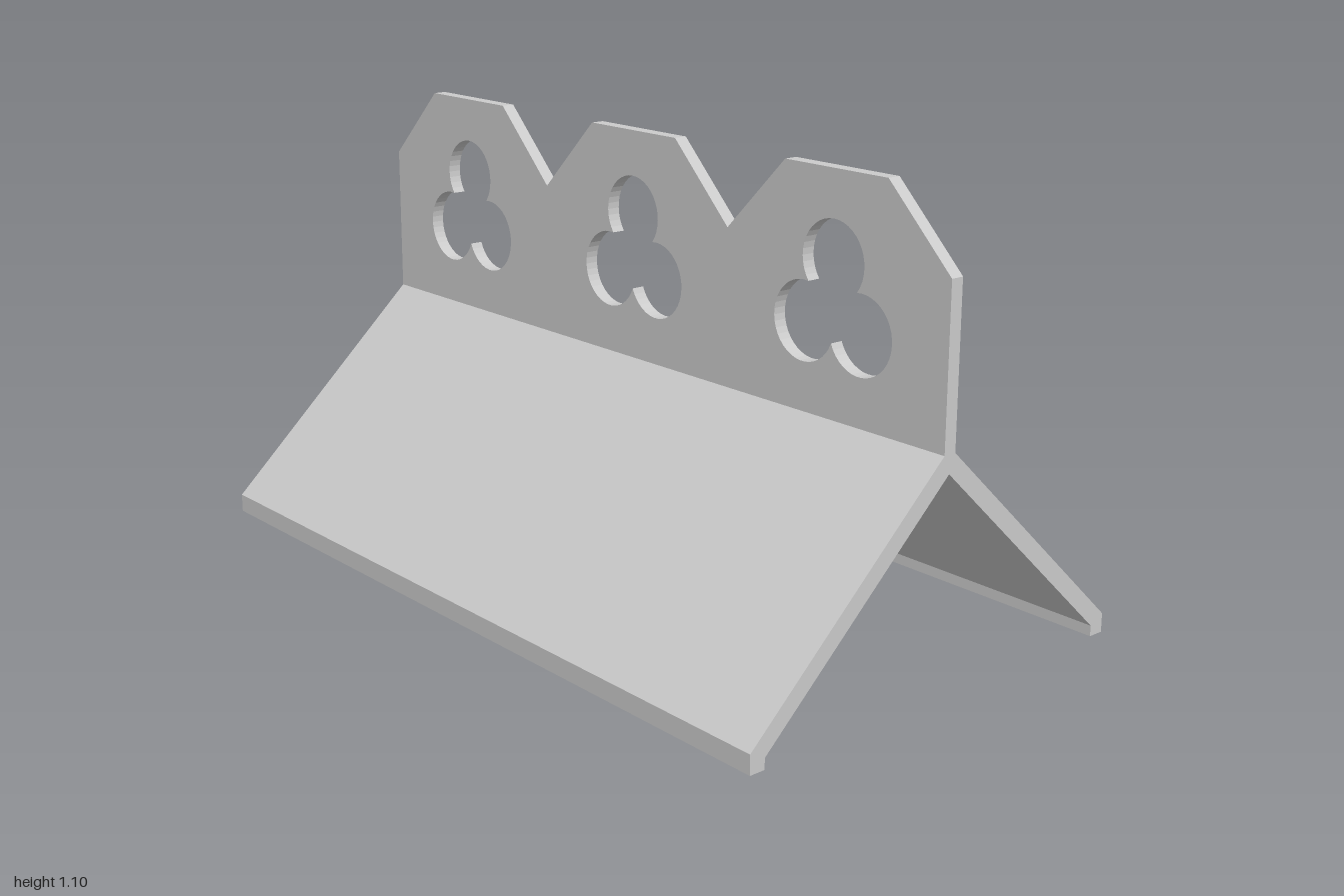
import * as THREE from 'three';

const LENGTH = 2, TABS = 3, PITCH = LENGTH / TABS;
const HALF = 0.0165; // half thickness of the crest plate
const RIDGE = 0.546;

// Extrude a shape and centre it along its depth
function extrude(shape, depth) {
  const geo = new THREE.ExtrudeGeometry(shape, { depth, bevelEnabled: false, curveSegments: 14 });
  return geo.translate(0, 0, -depth / 2);
}

// Trefoil: three overlapping lobes around a centre
function trefoil(cx, cy) {
  const path = new THREE.Path();
  const ring = 0.0985, r = 0.092;
  const sweep = THREE.MathUtils.degToRad(150) - Math.acos((ring * Math.sqrt(3)) / 2 / r);
  for (let i = 0; i < 3; i++) {
    const a = Math.PI / 2 + (i * 2 * Math.PI) / 3;
    path.absarc(cx + ring * Math.cos(a), cy + ring * Math.sin(a), r, a - sweep, a + sweep, false);
  }
  return path;
}

export function createModel() {
  const group = new THREE.Group();
  group.name = 'ridgeTile';
  const material = new THREE.MeshStandardMaterial({ color: 0xcccccc, flatShading: true });

  // Two sloping wings with upright feet, one continuous section
  const half = [[HALF, RIDGE], [0.553, 0.046], [0.553, 0], [0.513, 0], [0.513, 0.026]];
  const section = [
    ...half,
    [0, 0.503],
    ...half.slice().reverse().map(([z, y]) => [-z, y]),
  ].map(([z, y]) => new THREE.Vector2(z, y));
  const wings = new THREE.Mesh(
    extrude(new THREE.Shape(section), LENGTH).rotateY(-Math.PI / 2), material);
  wings.name = 'slopingWings';
  group.add(wings);

  // Upright crest with chamfered tabs, each pierced by a trefoil
  const crest = new THREE.Shape();
  crest.moveTo(-LENGTH / 2, RIDGE);
  crest.lineTo(LENGTH / 2, RIDGE);
  crest.lineTo(LENGTH / 2, 0.92);
  for (let i = TABS - 1; i >= 0; i--) {
    const cx = (i - (TABS - 1) / 2) * PITCH;
    crest.lineTo(cx + 0.152, 1.1);
    crest.lineTo(cx - 0.152, 1.1);
    crest.lineTo(cx - PITCH / 2, 0.92);
    crest.holes.push(trefoil(cx, 0.801));
  }
  crest.closePath();
  const plate = new THREE.Mesh(extrude(crest, HALF * 2), material);
  plate.name = 'piercedCrest';
  group.add(plate);

  return group;
}
